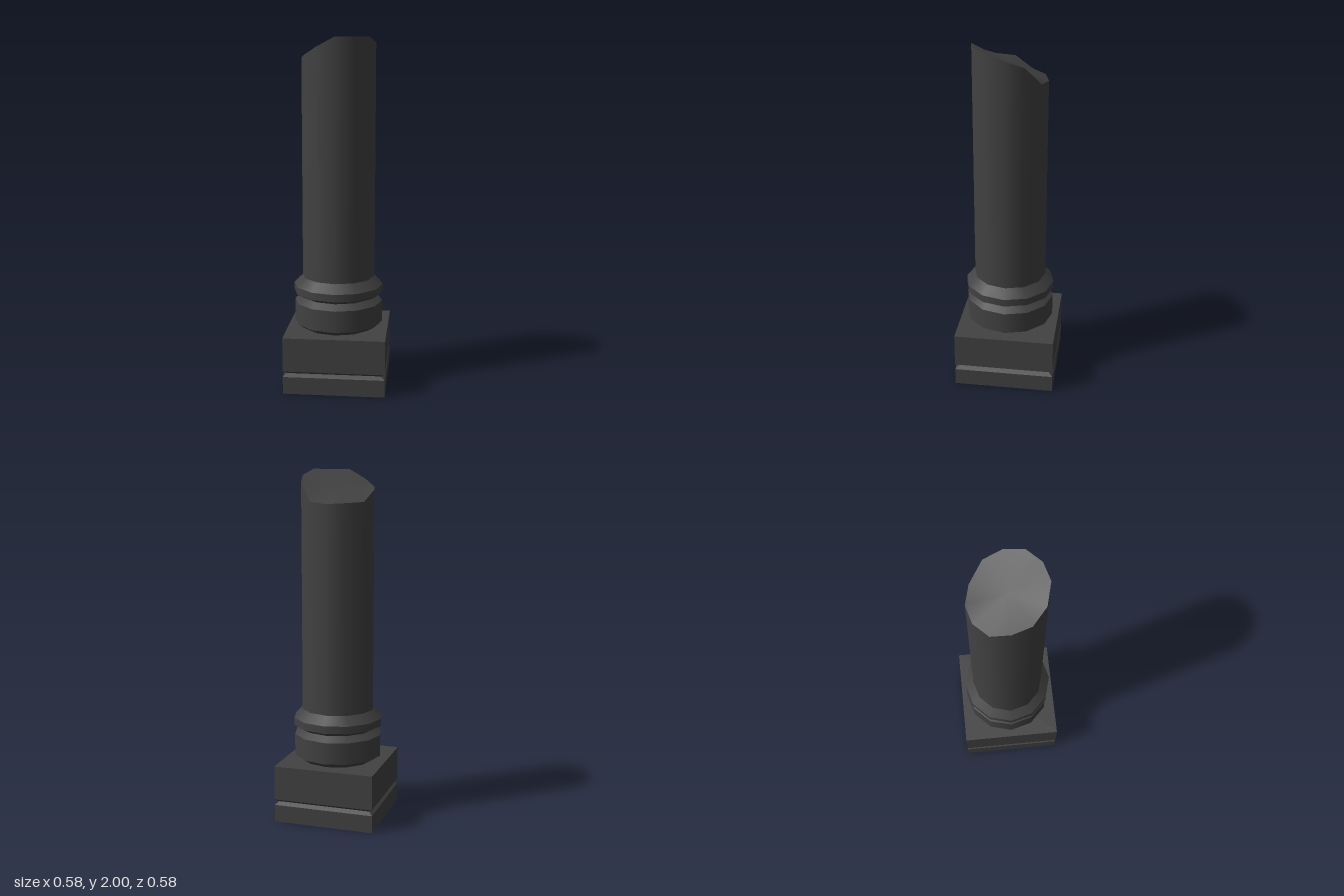
import * as THREE from 'three';

const SIDES = 12;
// Height of the broken shaft top at each corner, from the front round by the left
const BREAK = [2, 2, 2, 1.965, 1.925, 1.82, 1.81, 1.815, 1.82, 1.885, 1.9, 1.945];

const v2 = (pairs) => pairs.map(([r, y]) => new THREE.Vector2(r, y));

export function createModel() {
  const stone = new THREE.MeshStandardMaterial({ color: 0x424242, side: THREE.DoubleSide });
  stone.name = 'dark stone';

  const model = new THREE.Group();
  model.name = 'brokenColumn';
  const add = (name, geometry, parent = model) => {
    const mesh = new THREE.Mesh(geometry, stone);
    mesh.name = name;
    parent.add(mesh);
    return mesh;
  };

  // Square plinth: hollow shell, open below, with a groove round it
  const profile = [[0.29, 0], [0.29, 0.1], [0.268, 0.117], [0.29, 0.133], [0.29, 0.33], [0, 0.33]];
  const plinth = new THREE.LatheGeometry(
    v2(profile.map(([r, y]) => [r * Math.SQRT2, y])), 4, Math.PI / 4
  ).toNonIndexed();
  plinth.computeVertexNormals();
  add('plinth', plinth);

  // Base mouldings: each band is smooth round the column, with sharp edges between bands
  const mouldings = new THREE.Group();
  mouldings.name = 'baseMouldings';
  model.add(mouldings);
  const rings = [
    [0.21, 0.33], [0.256, 0.36], [0.256, 0.485], [0.215, 0.516],
    [0.26, 0.54], [0.26, 0.583], [0.21, 0.632],
  ];
  for (let i = 0; i + 1 < rings.length; i++) {
    add('mouldingBand', new THREE.LatheGeometry(v2([rings[i], rings[i + 1]]), SIDES), mouldings);
  }

  // Shaft with its upper ring moved to the break line
  const shaft = new THREE.LatheGeometry(v2([[0.21, 0.632], [0.21, 2]]), SIDES);
  const pos = shaft.attributes.position;
  for (let i = 0; i <= SIDES; i++) pos.setY(i * 2 + 1, BREAK[i % SIDES]);
  add('shaft', shaft);

  // Broken top face, fanned from its middle
  const corners = [0, 1.905, 0];
  const index = [];
  for (let i = 0; i < SIDES; i++) {
    const a = (i / SIDES) * Math.PI * 2;
    corners.push(0.21 * Math.sin(a), BREAK[i], 0.21 * Math.cos(a));
    index.push(0, i + 1, ((i + 1) % SIDES) + 1);
  }
  const top = new THREE.BufferGeometry();
  top.setAttribute('position', new THREE.Float32BufferAttribute(corners, 3));
  top.setIndex(index);
  top.computeVertexNormals();
  add('brokenTop', top);

  return model;
}
